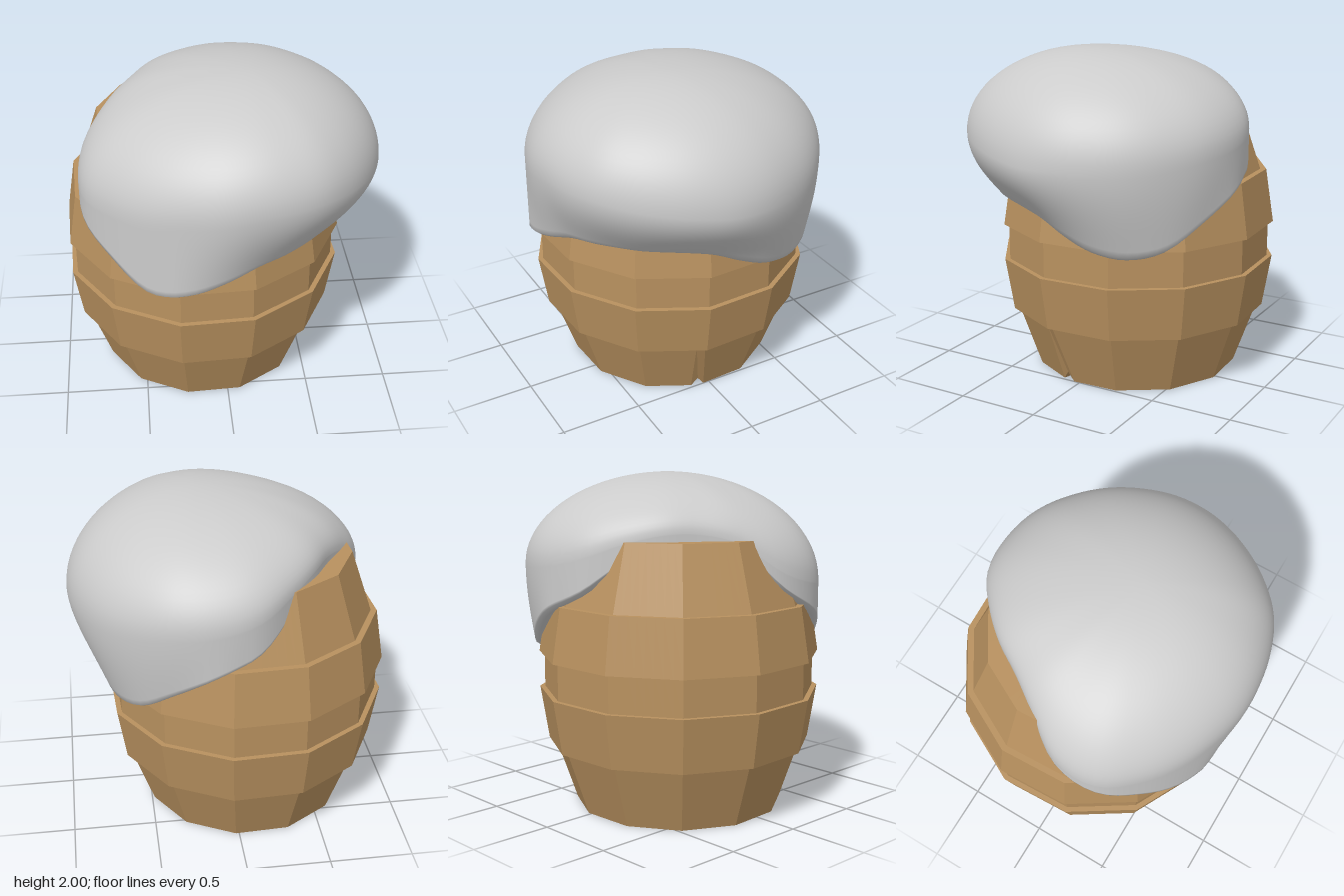
import * as THREE from 'three';

const SIDES = 12, SUB = 8;
const FIRST = THREE.MathUtils.degToRad(17.6); // lathe angle of a stave corner
const CX = -0.115, CZ = -0.055;               // barrel axis
const STEP = (Math.PI * 2) / SIDES;

// Twelve-sided lathe; each flat is subdivided so that corners can be chipped
function facetedLathe(profile, edit) {
  const geo = new THREE.LatheGeometry(profile.map(([r, y]) => new THREE.Vector2(r, y)), SIDES * SUB, FIRST);
  const p = geo.attributes.position;
  for (let i = 0; i < p.count; i++) {
    const x = p.getX(i), z = p.getZ(i);
    const turn = Math.atan2(x, z) - FIRST + Math.PI * 4;
    const local = (turn % STEP) - STEP / 2;
    const k = Math.cos(STEP / 2) / Math.cos(local);
    p.setXYZ(i, x * k, p.getY(i) + (edit ? edit(x, p.getY(i), z) : 0), z * k);
  }
  const flat = geo.toNonIndexed();
  flat.computeVertexNormals();
  return flat;
}

// Smooth closed interpolation through values spaced evenly round the circle
function around(values, angle) {
  const n = values.length;
  const f = ((angle / (Math.PI * 2)) * n) % n;
  const i = Math.floor(f), t = f - i;
  const [a, b, c, d] = [-1, 0, 1, 2].map((k) => values[(i + k + n) % n]);
  return b + 0.5 * t * (c - a + t * (2 * a - 5 * b + 4 * c - d + t * (3 * (b - c) + d - a)));
}

// Barrel outer radius at a height in its upper half
function barrelRadius(y) {
  return y < 1.25
    ? THREE.MathUtils.mapLinear(y, 0.935, 1.25, 0.85, 0.798)
    : THREE.MathUtils.mapLinear(y, 1.25, 1.64, 0.763, 0.63);
}

// Snow cap, every 15 degrees from +x towards +z: widest radius, its height, lower edge height
const SNOW_X = 0.15, SNOW_Z = 0.1, TOP = 2;
const WIDE = [0.79, 0.765, 0.75, 0.75, 0.76, 0.765, 0.78, 0.81, 0.84, 0.89, 0.95, 1.01,
  0.98, 0.87, 0.82, 0.84, 0.88, 0.94, 0.945, 0.925, 0.89, 0.86, 0.83, 0.81];
const WIDE_Y = [1.42, 1.44, 1.46, 1.48, 1.5, 1.5, 1.5, 1.47, 1.44, 1.4, 1.38, 1.38,
  1.45, 1.62, 1.68, 1.68, 1.63, 1.55, 1.5, 1.48, 1.45, 1.43, 1.42, 1.42];
const EDGE_Y = [1.07, 1.1, 1.11, 1.11, 1.11, 1.1, 1.08, 1.01, 0.94, 0.92, 1.06, 1.2,
  1.34, 1.57, 1.58, 1.58, 1.5, 1.33, 1.22, 1.08, 0.94, 0.9, 0.93, 1.0];

function snowGeometry() {
  const cols = 96, upper = 20, lower = 14, pos = [], index = [];
  const rows = upper + lower + 3;
  for (let i = 0; i < rows; i++) {
    for (let j = 0; j < cols; j++) {
      const a = (j / cols) * Math.PI * 2, c = Math.cos(a), s = Math.sin(a);
      const wide = around(WIDE, a), wy = around(WIDE_Y, a), ey = around(EDGE_Y, a);
      // Distance to the barrel wall in this direction
      const dx = SNOW_X - CX, dz = SNOW_Z - CZ, b = dx * c + dz * s;
      const wall = -b + Math.sqrt(b * b - dx * dx - dz * dz + barrelRadius(ey) ** 2);
      const lip = Math.min(wall + 0.04, wide);
      let r, y;
      if (i <= upper) {
        const t = ((i / upper) * Math.PI) / 2;
        r = wide * Math.sin(t);
        y = wy + (TOP - wy) * Math.cos(t);
      } else if (i <= upper + lower) {
        const t = (i - upper) / lower;
        r = lip + (wide - lip) * Math.cos((t * Math.PI) / 2);
        y = wy + (ey + 0.02 - wy) * t;
      } else {
        // Rounded lip tucked into the barrel
        const k = i - upper - lower;
        r = lip - (k === 1 ? 0.03 : 0.15);
        y = ey + (k === 1 ? 0 : 0.03);
      }
      pos.push(SNOW_X + r * c, y, SNOW_Z + r * s);
    }
  }
  const at = (i, j) => (i === 0 ? 0 : i * cols + (j % cols));
  for (let i = 0; i < rows - 1; i++) {
    for (let j = 0; j < cols; j++) {
      const a = at(i, j), b = at(i + 1, j), c = at(i, j + 1), d = at(i + 1, j + 1);
      if (i > 0) index.push(a, c, b);
      index.push(c, d, b);
    }
  }
  const geo = new THREE.BufferGeometry();
  geo.setAttribute('position', new THREE.Float32BufferAttribute(pos, 3));
  geo.setIndex(index);
  geo.computeVertexNormals();
  return geo;
}

export function createModel() {
  const model = new THREE.Group();
  const wood = new THREE.MeshStandardMaterial({ color: 0xb8915f, flatShading: true });
  const snow = new THREE.MeshStandardMaterial({ color: 0xcccccc });

  const barrel = new THREE.Group();
  barrel.name = 'barrel';
  barrel.position.set(CX, 0, CZ);
  model.add(barrel);
  const add = (parent, name, geo, mat) => {
    const mesh = new THREE.Mesh(geo, mat);
    mesh.name = name;
    parent.add(mesh);
  };

  // Staves with recessed ends and a small chip in the bottom rim
  const chip = (x, y, z) =>
    y < 0.001 && Math.abs(Math.atan2(x, z) - FIRST - 2 * STEP) < 0.01 ? 0.055 : 0;
  add(barrel, 'barrelBody', facetedLathe([
    [0, 0.1], [0.49, 0.1], [0.49, 0], [0.63, 0], [0.763, 0.385], [0.819, 0.71],
    [0.819, 0.935], [0.763, 1.25], [0.63, 1.64], [0.49, 1.64], [0.49, 1.56], [0, 1.56],
  ], chip), wood);

  // Two raised hoops, mirrored about the waist
  const hoop = [[0.75, 0.385], [0.798, 0.385], [0.85, 0.71], [0.8, 0.71]];
  add(barrel, 'lowerHoop', facetedLathe(hoop), wood);
  add(barrel, 'upperHoop', facetedLathe(hoop.map(([r, y]) => [r, 1.64 - y]).reverse()), wood);

  add(model, 'snowCap', snowGeometry(), snow);
  return model;
}
